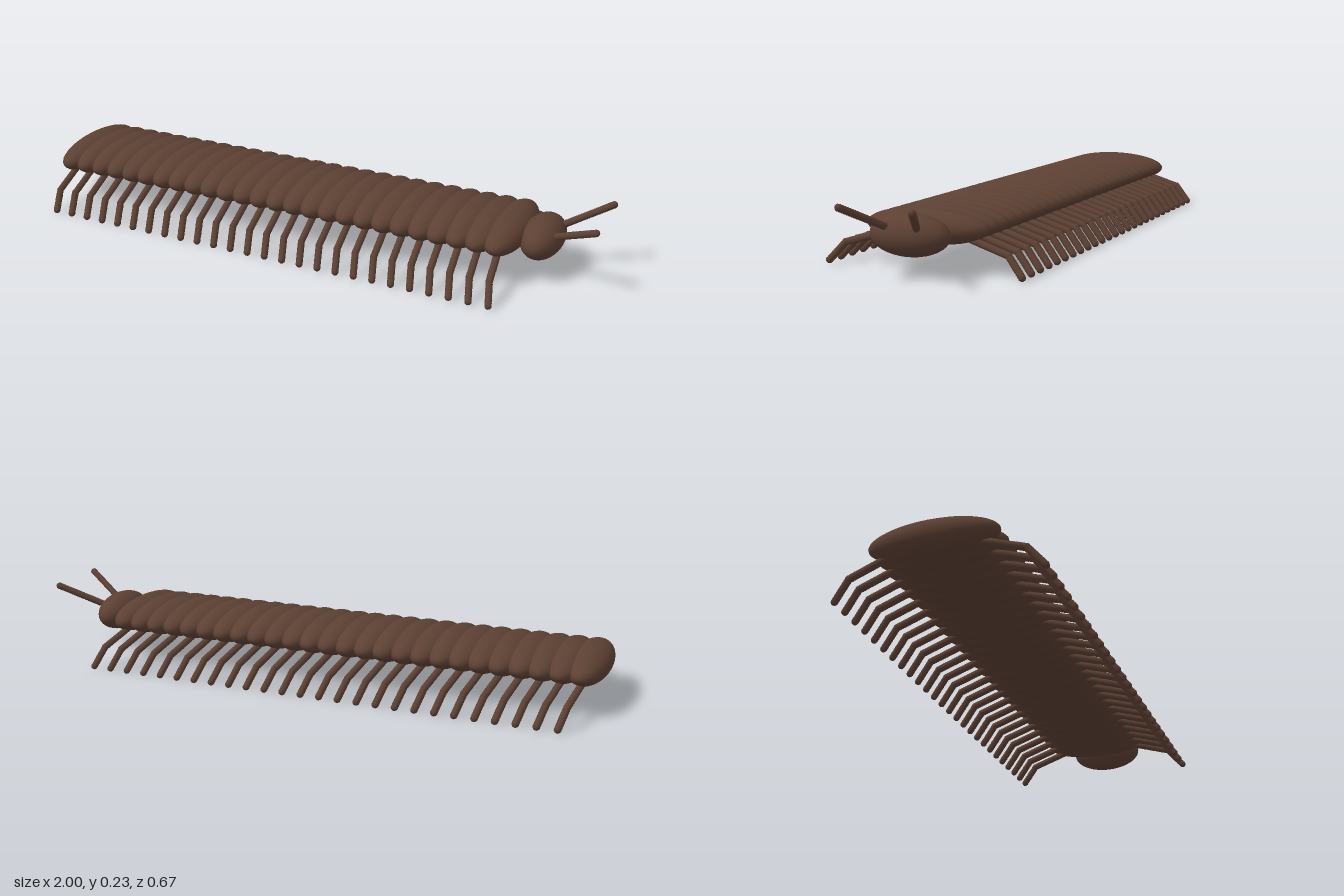
import * as THREE from 'three';

const shell = new THREE.MeshStandardMaterial({ color: 0x5c4033 });
shell.name = 'dark brown shell';

const SEGMENTS = 26;
const PITCH = 0.0648;
const FIRST_X = -0.93;
const LIMB_R = 0.012;

function ellipsoid(name, rx, ry, rz, x, y) {
  const mesh = new THREE.Mesh(new THREE.SphereGeometry(1, 32, 20), shell);
  mesh.name = name;
  mesh.scale.set(rx, ry, rz);
  mesh.position.set(x, y, 0);
  return mesh;
}

// Finely ringed rod of a given length along +y, with round ends
function ringedRod(length) {
  const points = [];
  const cap = (y, from, to) => {
    for (let i = 0; i <= 3; i++) {
      const a = THREE.MathUtils.lerp(from, to, i / 3);
      points.push(new THREE.Vector2(Math.max(0, Math.cos(a)) * LIMB_R, y + Math.sin(a) * LIMB_R));
    }
  };
  const rings = Math.round(length / 0.009);
  cap(0, -Math.PI / 2, 0);
  for (let i = 1; i < rings * 2; i++) {
    points.push(new THREE.Vector2(i % 2 ? LIMB_R * 0.93 : LIMB_R, (length * i) / (rings * 2)));
  }
  cap(length, 0, Math.PI / 2);
  return new THREE.LatheGeometry(points, 8);
}

// Limb made of ringed rods joining the given points
function limb(name, path) {
  const group = new THREE.Group();
  group.name = name;
  for (let i = 0; i + 1 < path.length; i++) {
    const a = new THREE.Vector3(...path[i]);
    const dir = new THREE.Vector3(...path[i + 1]).sub(a);
    const rod = new THREE.Mesh(ringedRod(dir.length()), shell);
    rod.name = name + 'Part';
    rod.position.copy(a);
    rod.quaternion.setFromUnitVectors(new THREE.Vector3(0, 1, 0), dir.normalize());
    group.add(rod);
  }
  return group;
}

export function createModel() {
  const model = new THREE.Group();
  model.name = 'centipede';

  // Body segments, each with a pair of bent legs
  for (let i = 0; i < SEGMENTS; i++) {
    const x = FIRST_X + i * PITCH;
    model.add(ellipsoid('bodySegment', 0.07, 0.055, 0.204, x, 0.135));
    for (const side of [1, -1]) {
      model.add(limb('leg', [
        [x, 0.105, side * 0.14],
        [x + 0.019, 0.069, side * 0.274],
        [x + 0.035, 0.012, side * 0.324],
      ]));
    }
  }

  // Head and antennae
  model.add(ellipsoid('head', 0.069, 0.065, 0.13, 0.797, 0.125));
  for (const side of [1, -1]) {
    model.add(limb('antenna', [
      [0.835, 0.147, side * 0.045],
      [0.989, 0.224, side * 0.117],
    ]));
  }
  return model;
}
